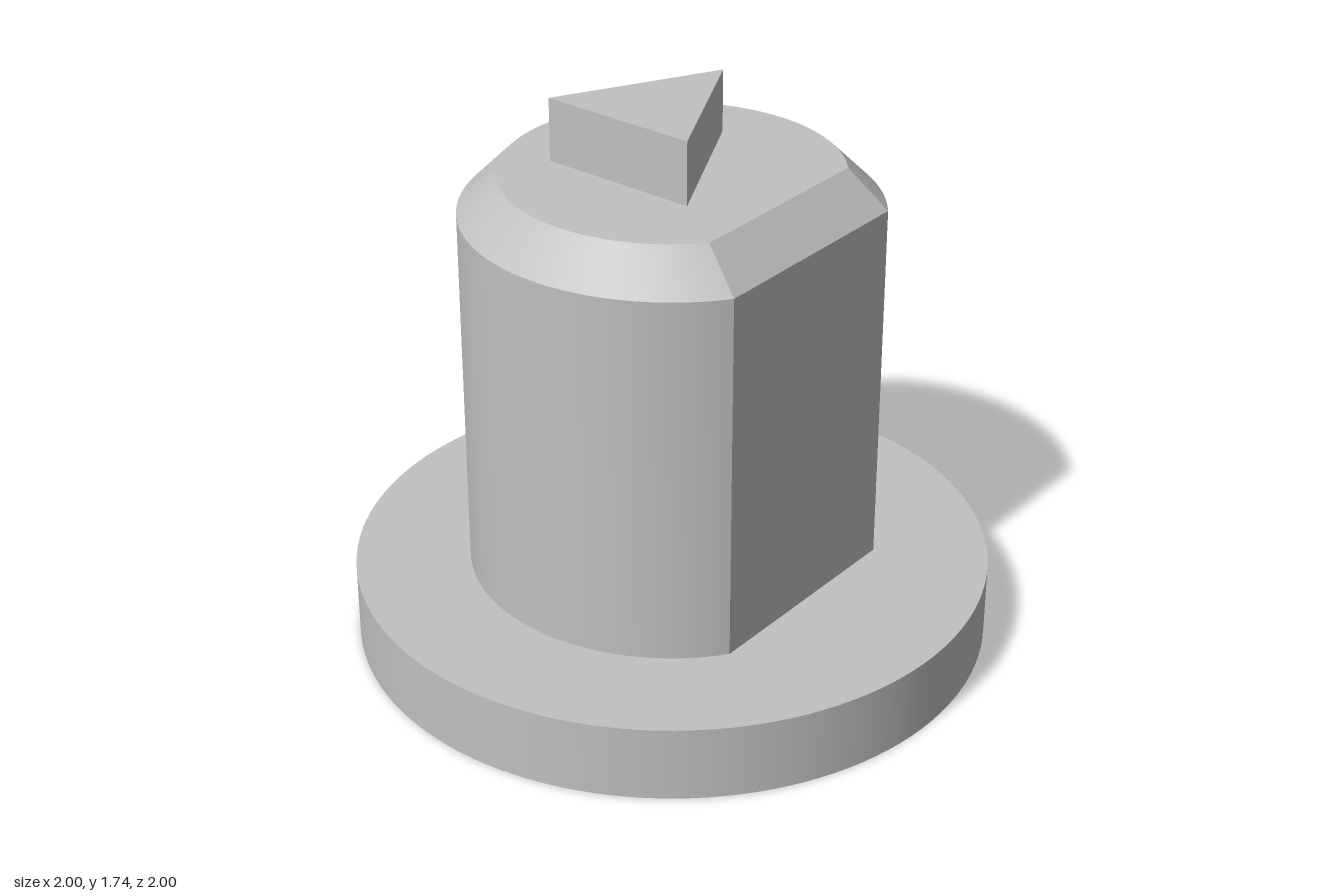
import * as THREE from 'three';
import { toCreasedNormals } from 'three/addons/utils/BufferGeometryUtils.js';

// D-shaped outline: a circle of radius r cut by a flat at z = flat
function dOutline(r, flat, y, segments = 96) {
  const cut = Math.asin(flat / r);
  const start = Math.PI - cut;
  const sweep = Math.PI + 2 * cut;
  const ring = [];
  for (let i = 0; i <= segments; i++) {
    const a = start + (sweep * i) / segments;
    ring.push(new THREE.Vector3(r * Math.cos(a), y, r * Math.sin(a)));
  }
  return ring;
}

// Joins rings from bottom to top and closes the top
function loft(rings) {
  const points = [];
  const n = rings[0].length;
  const top = rings[rings.length - 1];
  const centre = new THREE.Vector3(0, top[0].y, 0);
  for (let i = 0; i < n; i++) {
    const j = (i + 1) % n;
    for (let k = 0; k < rings.length - 1; k++) {
      const lower = rings[k], upper = rings[k + 1];
      points.push(lower[i], upper[i], upper[j], lower[i], upper[j], lower[j]);
    }
    points.push(centre, top[j], top[i]);
  }
  return toCreasedNormals(new THREE.BufferGeometry().setFromPoints(points), 0.3);
}

export function createModel() {
  const model = new THREE.Group();
  model.name = 'keyedPeg';
  const grey = new THREE.MeshStandardMaterial({ color: 0xc0c0c0 });
  grey.name = 'grey';

  const add = (name, geometry, y = 0) => {
    const mesh = new THREE.Mesh(geometry, grey);
    mesh.name = name;
    mesh.position.y = y;
    model.add(mesh);
  };

  // Round flange at the foot
  add('baseFlange', new THREE.CylinderGeometry(1, 1, 0.24, 128), 0.12);

  // Post with a flat front and a chamfered top edge
  add('flattenedPost', loft([
    dOutline(0.64, 0.52, 0.24),
    dOutline(0.64, 0.52, 1.42),
    dOutline(0.52, 0.40, 1.54),
  ]));

  // Triangular pointer on top, its tip towards +x
  const triangle = new THREE.Shape([
    new THREE.Vector2(-0.18, -0.20),
    new THREE.Vector2(0.32, 0.06),
    new THREE.Vector2(-0.18, 0.32),
  ]);
  const pointer = new THREE.ExtrudeGeometry(triangle, { depth: 0.2, bevelEnabled: false });
  pointer.rotateX(-Math.PI / 2);
  add('trianglePointer', pointer, 1.54);

  return model;
}
